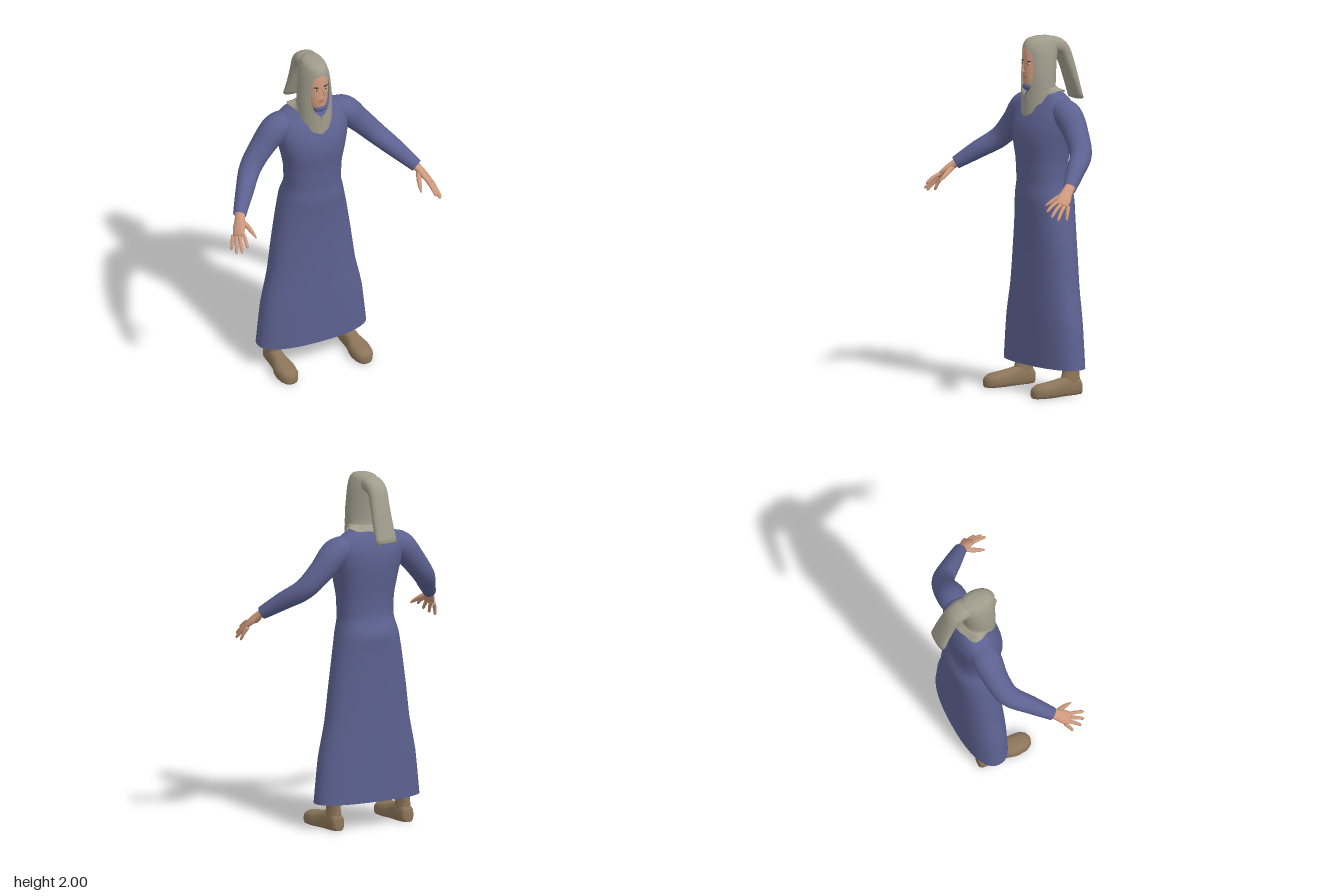
import * as THREE from 'three';

const mat = (name, color, side = THREE.FrontSide) => {
  const m = new THREE.MeshStandardMaterial({ color, side });
  m.name = name;
  return m;
};
const V = (x, y, z) => new THREE.Vector3(x, y, z);

// Smooth skin over rows of points
function skin(rows, closed) {
  const n = rows[0].length, pos = [], idx = [];
  rows.forEach(r => r.forEach(p => pos.push(p.x, p.y, p.z)));
  for (let i = 0; i < rows.length - 1; i++) {
    for (let j = 0; j < (closed ? n : n - 1); j++) {
      const k = (j + 1) % n, a = i * n + j, b = i * n + k, c = a + n, d = b + n;
      idx.push(a, b, c, b, d, c);
    }
  }
  const g = new THREE.BufferGeometry();
  g.setAttribute('position', new THREE.Float32BufferAttribute(pos, 3));
  g.setIndex(idx);
  g.computeVertexNormals();
  return g;
}

// Loft through stations [x, y, z, radiusU, radiusV]; dir fixes the ring plane
function loft(st, { u = V(1, 0, 0), dir = null, n = 20, steps = 4, p = 1, capA = true, capB = true, side = 1 } = {}) {
  const cen = new THREE.CatmullRomCurve3(st.map(s => V(s[0] * side, s[1], s[2])));
  const rad = new THREE.CatmullRomCurve3(st.map(s => V(s[3], s[4] ?? s[3], 0)));
  const N = (st.length - 1) * steps, rows = [];
  const ref = V(u.x * side, u.y, u.z);
  const pw = v => Math.sign(v) * Math.abs(v) ** p;
  for (let i = 0; i <= N; i++) {
    const c = cen.getPoint(i / N), r = rad.getPoint(i / N);
    const t = dir ? dir.clone() : cen.getTangent(i / N);
    const a = ref.clone().addScaledVector(t, -ref.dot(t)).normalize();
    const b = t.clone().cross(a);
    const row = [];
    for (let j = 0; j < n; j++) {
      const w = j / n * Math.PI * 2;
      const q = c.clone().addScaledVector(a, r.x * pw(Math.cos(w))).addScaledVector(b, r.y * pw(Math.sin(w)));
      q.y = Math.max(0, q.y);
      row.push(q);
    }
    if (i === 0 && capA) rows.push(row.map(() => c.clone()));
    rows.push(row);
    if (i === N && capB) rows.push(row.map(() => c.clone()));
  }
  return skin(rows, true);
}

// Piecewise linear lookup in [key, value] pairs
function lookup(table, x) {
  for (let i = 1; i < table.length; i++) {
    const [x0, y0] = table[i - 1], [x1, y1] = table[i];
    if (x <= x1) return y0 + (y1 - y0) * THREE.MathUtils.smoothstep(x, x0, x1);
  }
  return table[table.length - 1][1];
}

// Head cloth: rings open at the face, then a skirt forming the bib and back drape
function hoodGeometry() {
  const n = 56, rows = [];
  // y, half width, front z, back z, half angle of the face opening
  const rings = [
    [2.0, 0.002, -0.048, -0.052, 0], [1.997, 0.036, 0.0, -0.11, 0], [1.988, 0.055, 0.033, -0.14, 0],
    [1.97, 0.066, 0.053, -0.152, 0], [1.942, 0.075, 0.061, -0.155, 0.03], [1.93, 0.079, 0.061, -0.153, 0.42],
    [1.905, 0.085, 0.061, -0.15, 0.6], [1.86, 0.091, 0.06, -0.142, 0.66], [1.8, 0.097, 0.06, -0.135, 0.64],
    [1.76, 0.1, 0.06, -0.132, 0.58], [1.72, 0.1, 0.06, -0.13, 0.46]];
  const hem = [[0, 1.555], [0.4, 1.57], [1, 1.63], [1.6, 1.685], [2.1, 1.705], [2.5, 1.685], [3.2, 1.685]];
  const ring = ([y, rx, zf, zb, open], s) => {
    const row = [];
    for (let j = 0; j <= n; j++) {
      const w = open + (2 * Math.PI - 2 * open) * j / n;
      const k = Math.min(w, 2 * Math.PI - w);
      const flare = 1 + s * (0.6 * Math.exp(-(((k - 2.2) / 0.4) ** 2)) + 0.45 * THREE.MathUtils.smoothstep(k, 2.2, 3.1));
      row.push(V(rx * flare * Math.sin(w), y + (lookup(hem, k) - y) * s,
        (zf + zb) / 2 + (zf - zb) / 2 * flare * Math.cos(w)));
    }
    return row;
  };
  rings.forEach(r => rows.push(ring(r, 0)));
  [[0.15, 0.3], [0.3, 0.03], [0.5, 0], [0.75, 0], [1, 0]].forEach(([s, open]) =>
    rows.push(ring([1.72, 0.1, 0.06, -0.13, open], s)));
  return skin(rows, false);
}

export function createModel() {
  const model = new THREE.Group();
  const blue = mat('blue cloth', 0x5c6190, THREE.DoubleSide);
  const grey = mat('grey cloth', 0xa09c8c, THREE.DoubleSide);
  const flesh = mat('skin', 0xcf9a7e);
  const leather = mat('brown leather', 0x8c7559);
  const dark = mat('dark hair', 0x3a2c26);
  const lip = mat('lips', 0xa66f60);
  const white = mat('eye white', 0xd8d0c8);
  const add = (name, geo, m) => {
    const mesh = new THREE.Mesh(geo, m);
    mesh.name = name;
    model.add(mesh);
    return mesh;
  };
  const ball = (name, m, x, y, z, sx, sy, sz) => {
    const o = add(name, new THREE.SphereGeometry(1, 20, 14), m);
    o.position.set(x, y, z);
    o.scale.set(sx, sy, sz);
    return o;
  };
  const up = V(0, 1, 0);

  // Robe: height, half width, front z, back z
  const robe = [
    [0.15, 0.333, 0.05, -0.205], [0.4, 0.305, 0.05, -0.206], [0.6, 0.262, 0.047, -0.208], [0.8, 0.235, 0.047, -0.21],
    [1.0, 0.203, 0.055, -0.215], [1.1, 0.183, 0.065, -0.218], [1.2, 0.163, 0.06, -0.185], [1.3, 0.167, 0.064, -0.185],
    [1.42, 0.19, 0.076, -0.2], [1.5, 0.207, 0.066, -0.208], [1.57, 0.215, 0.04, -0.205], [1.62, 0.205, 0.012, -0.192],
    [1.66, 0.165, -0.012, -0.175], [1.69, 0.105, -0.022, -0.155], [1.72, 0.06, -0.022, -0.13], [1.75, 0.052, -0.025, -0.12]];
  add('robe', loft(robe.map(([y, w, f, b]) => [0, y, (f + b) / 2, w, (f - b) / 2]),
    { dir: up, n: 48, p: 0.85, capA: false }), blue);

  // Head, chin cloth, nose and mouth
  add('head', loft([
    [0, 1.69, 0, 0.028, 0.035], [0, 1.72, 0.006, 0.044, 0.046], [0, 1.76, 0.002, 0.056, 0.056], [0, 1.82, -0.01, 0.065, 0.068],
    [0, 1.88, -0.015, 0.068, 0.07], [0, 1.93, -0.02, 0.064, 0.068], [0, 1.96, -0.03, 0.045, 0.05]], { dir: up, n: 28 }), flesh);
  ball('chinCloth', blue, 0, 1.722, 0.017, 0.045, 0.028, 0.047);
  add('nose', loft([[0, 1.868, 0.05, 0.007, 0.006], [0, 1.84, 0.06, 0.009, 0.009],
    [0, 1.82, 0.066, 0.015, 0.013], [0, 1.81, 0.062, 0.01, 0.01]], { dir: up, n: 12 }), flesh);
  ball('upperLip', lip, 0, 1.782, 0.055, 0.02, 0.004, 0.007);
  ball('lowerLip', lip, 0, 1.774, 0.055, 0.016, 0.005, 0.007);

  // Head cloth with its hanging tail
  add('hood', hoodGeometry(), grey);
  add('hoodTail', loft([
    [0, 1.93, -0.07, 0.055, 0.055], [0, 1.945, -0.135, 0.06, 0.046], [0, 1.92, -0.185, 0.058, 0.04], [0.003, 1.84, -0.222, 0.058, 0.034],
    [0.004, 1.74, -0.255, 0.062, 0.028], [0, 1.635, -0.29, 0.067, 0.02]], { n: 24, p: 0.85 }), grey);

  for (const side of [1, -1]) {
    const tag = side > 0 ? 'left' : 'right';

    // Eye and brow
    ball(tag + 'Eye', white, side * 0.027, 1.853, 0.0495, 0.011, 0.005, 0.005);
    ball(tag + 'Pupil', dark, side * 0.027, 1.853, 0.053, 0.005, 0.005, 0.003);
    const brow = ball(tag + 'Brow', dark, side * 0.029, 1.868, 0.05, 0.016, 0.003, 0.005);
    brow.rotation.set(0, side * 0.35, side * 0.08);

    // Sleeve
    add(tag + 'Sleeve', loft([
      [0.12, 1.605, -0.09, 0.06, 0.07], [0.21, 1.57, -0.09, 0.08, 0.082], [0.3, 1.477, -0.083, 0.069, 0.071],
      [0.39, 1.378, -0.05, 0.06, 0.062], [0.472, 1.302, 0.045, 0.051], [0.55, 1.226, 0.14, 0.037]],
    { u: up, side, capB: false, n: 24, steps: 5 }), blue);

    // Palm, four fingers and thumb
    const across = V(-0.045, 0.03, 0.04).normalize();
    add(tag + 'Palm', loft([
      [0.535, 1.238, 0.12, 0.029, 0.024], [0.56, 1.208, 0.163, 0.031, 0.021], [0.58, 1.178, 0.196, 0.039, 0.018],
      [0.598, 1.148, 0.226, 0.034, 0.011]], { u: across, side, n: 16 }), flesh);
    const tips = [[0.585, 1.118, 0.318], [0.615, 1.088, 0.308], [0.635, 1.07, 0.278], [0.64, 1.066, 0.222]];
    tips.forEach((t, i) => {
      const f = i / 3, b = [0.574 + 0.039 * f, 1.17 - 0.03 * f, 0.222 - 0.032 * f];
      const at = (k, lift, r) => [...b.map((v, a) => v + (t[a] - v) * k + (a === 1 ? lift : 0)), r];
      add(tag + 'Finger' + (i + 1), loft([at(0, 0, 0.011), at(0.5, 0.008, 0.0105), at(0.92, 0.001, 0.008), at(1, 0, 0.003)],
        { u: across, side, n: 10 }), flesh);
    });
    add(tag + 'Thumb', loft([
      [0.553, 1.206, 0.158, 0.015], [0.532, 1.182, 0.205, 0.014], [0.52, 1.158, 0.245, 0.011], [0.513, 1.14, 0.276, 0.004]],
    { u: across, side, n: 10 }), flesh);

    // Boot: foot and shaft
    add(tag + 'BootFoot', loft([
      [0.228, 0.035, -0.16, 0.025, 0.035], [0.228, 0.04, -0.145, 0.038, 0.05], [0.228, 0.045, -0.08, 0.041, 0.062],
      [0.23, 0.04, -0.01, 0.045, 0.055], [0.232, 0.033, 0.06, 0.06, 0.05], [0.232, 0.03, 0.12, 0.055, 0.046],
      [0.231, 0.025, 0.155, 0.035, 0.034], [0.231, 0.022, 0.166, 0.012, 0.018]],
    { dir: V(0, 0, 1), side, p: 0.8, n: 24 }), leather);
    add(tag + 'BootShaft', loft([
      [0.228, 0.02, -0.1, 0.039, 0.055], [0.228, 0.08, -0.093, 0.038, 0.06], [0.228, 0.13, -0.095, 0.034, 0.054],
      [0.226, 0.2, -0.095, 0.037, 0.055], [0.222, 0.32, -0.092, 0.042, 0.055]],
    { dir: up, side, n: 20 }), leather);
  }
  return model;
}
